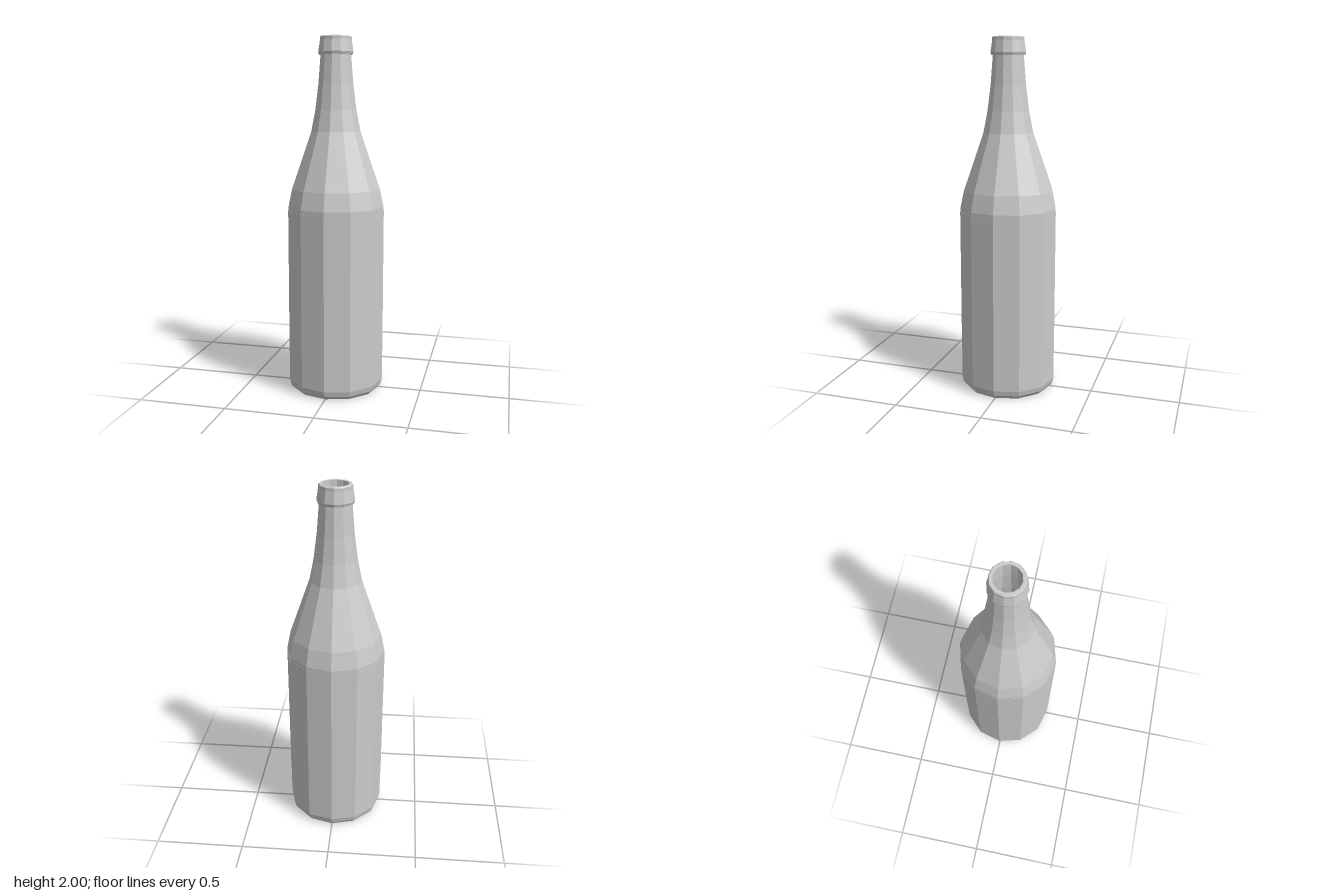
import * as THREE from 'three';

const SIDES = 12;

// Faceted surface of revolution from [radius, height] pairs
function turned(name, profile, material) {
  const points = profile.map(([r, y]) => new THREE.Vector2(r, y));
  const mesh = new THREE.Mesh(new THREE.LatheGeometry(points, SIDES), material);
  mesh.name = name;
  return mesh;
}

export function createModel() {
  const group = new THREE.Group();
  group.name = 'bottle';
  const glass = new THREE.MeshStandardMaterial({ color: 0xcccccc, flatShading: true });
  const paper = new THREE.MeshStandardMaterial({ color: 0xcccccc, flatShading: true, side: THREE.DoubleSide });

  // Glass: recessed base, body, shoulder, neck, lip, then the hollow inside
  group.add(turned('glassBody', [
    [0, 0.02], [0.228, 0.02], [0.238, 0], [0.252, 0], [0.268, 0.02], [0.276, 0.05],
    [0.276, 1.06], [0.255, 1.16], [0.237, 1.21], [0.142, 1.48], [0.118, 1.6],
    [0.1, 1.74], [0.087, 1.9],
    [0.095, 1.9], [0.1, 1.915], [0.09, 1.98], [0.09, 1.995], [0.086, 2],
    [0.07, 2], [0.07, 1.9], [0.084, 1.74], [0.126, 1.48], [0.22, 1.21],
    [0.26, 1.05], [0.26, 0.06], [0.235, 0.04], [0, 0.04],
  ], glass));

  // Thin label sleeve around the body
  group.add(turned('label', [
    [0.2762, 0.22], [0.2775, 0.22], [0.2775, 1.04], [0.2762, 1.04],
  ], paper));

  return group;
}
